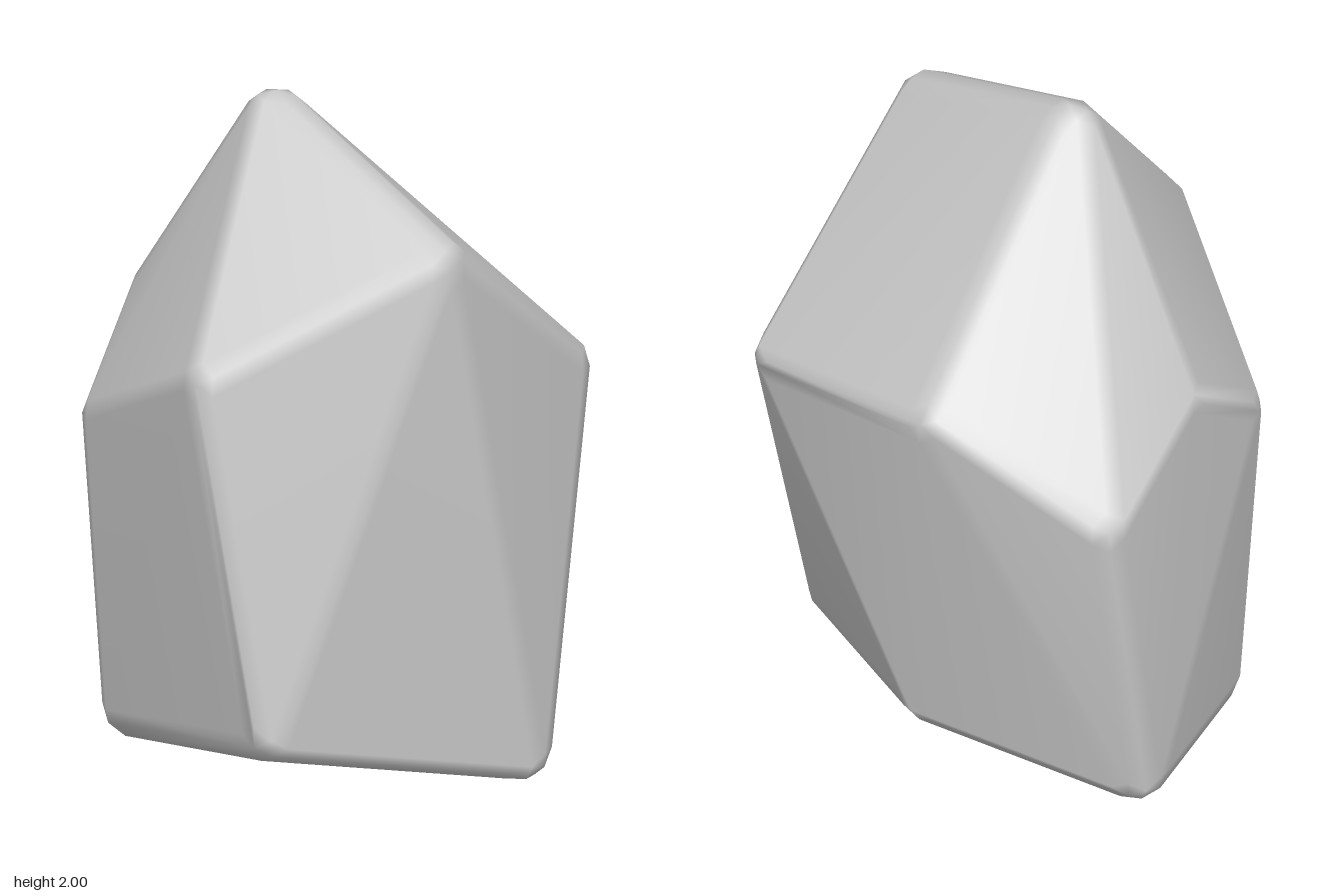
import * as THREE from 'three';
import { ConvexGeometry } from 'three/addons/geometries/ConvexGeometry.js';
import { mergeVertices } from 'three/addons/utils/BufferGeometryUtils.js';

const ROUNDING = 0.1;

// Centres of the rounded corners of the boulder
const CORNERS = [
  [-0.165, 1.9, 0.03],    // peak
  [0.32, 1.64, 0.46],     // front shoulder
  [-0.3, 1.31, 0.55],     // front right shoulder
  [0.615, 1.12, -0.115],  // left side shoulder
  [0.08, 1.3, -0.59],     // back shoulder
  [-0.51, 1.23, -0.27],   // back ridge end
  [-0.615, 1.0, 0.05],    // right side corner
  [-0.385, 1.04, -0.65],  // back corner
  [-0.125, 0.3, 0.65],    // front toe
  [0.535, 0.1, 0.25],     // base, left
  [-0.56, 0.1, 0.02],     // base, right
  [-0.46, 0.13, -0.51],   // base, back right
  [0.15, 0.21, -0.36],    // base, back left
];

// Hull around a small ball at every corner: flat faces with rounded edges
function roundedHull(corners, radius) {
  const ball = new THREE.IcosahedronGeometry(radius, 1);
  ball.deleteAttribute('normal');
  ball.deleteAttribute('uv');
  const p = mergeVertices(ball).attributes.position;
  const points = [];
  for (const [x, y, z] of corners) {
    for (let i = 0; i < p.count; i++) {
      points.push(new THREE.Vector3(x + p.getX(i), y + p.getY(i), z + p.getZ(i)));
    }
  }
  const hull = new ConvexGeometry(points);
  hull.deleteAttribute('normal');
  const smooth = mergeVertices(hull, 1e-4);
  smooth.computeVertexNormals();
  return smooth;
}

export function createModel() {
  const group = new THREE.Group();
  group.name = 'boulder';
  const rock = new THREE.Mesh(
    roundedHull(CORNERS, ROUNDING),
    new THREE.MeshStandardMaterial({ color: 0xcccccc }),
  );
  rock.name = 'rock';
  group.add(rock);
  return group;
}
